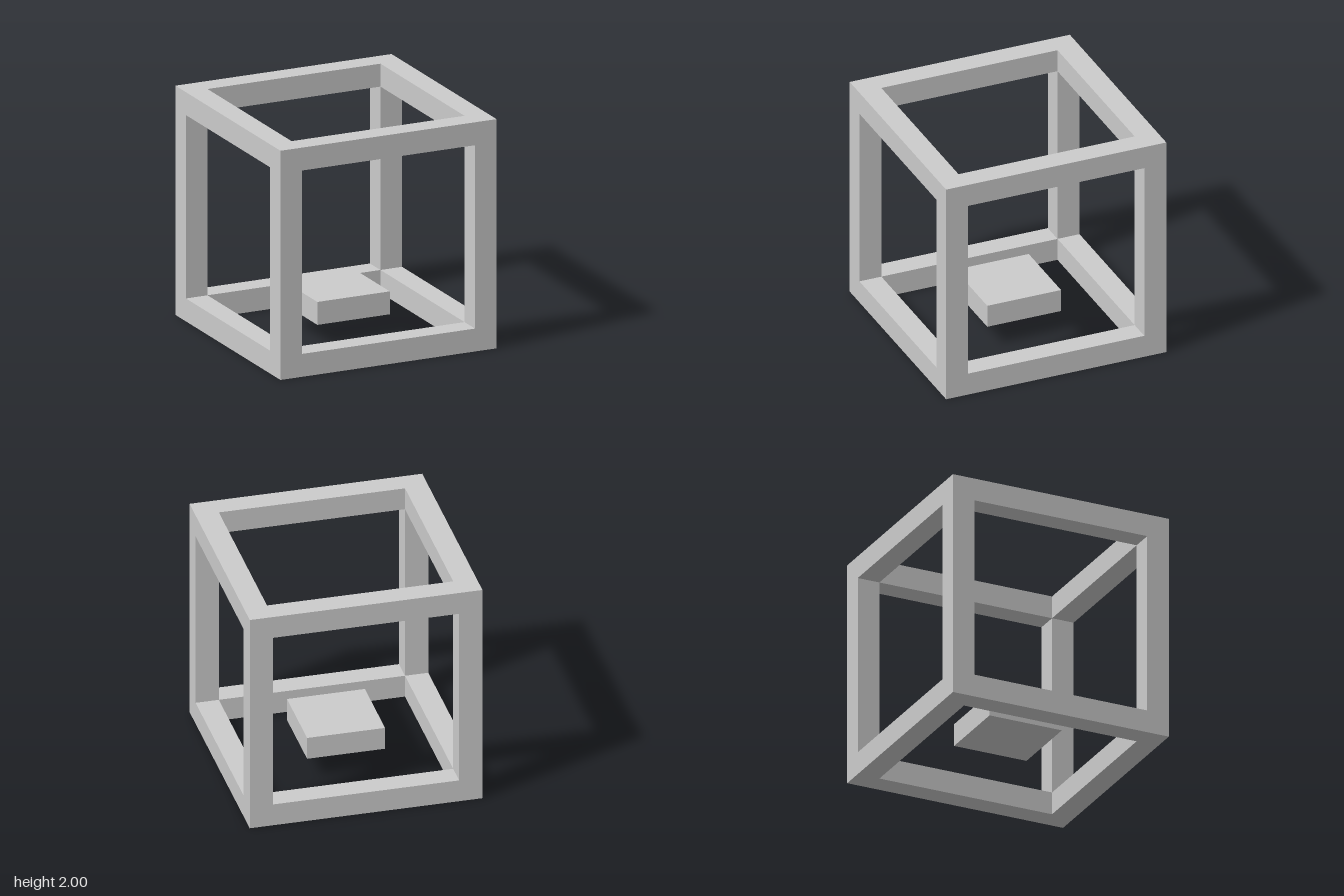
import * as THREE from 'three';
import { mergeGeometries } from 'three/addons/utils/BufferGeometryUtils.js';

const HALF = 1;     // half the cube's side
const BEAM = 0.2;   // beam thickness
const INNER = HALF - BEAM;

// Outline of a square centred on the origin
function square(path, r) {
  path.moveTo(-r, -r);
  path.lineTo(r, -r);
  path.lineTo(r, r);
  path.lineTo(-r, r);
  path.closePath();
  return path;
}

// One side of the cage: a flat square ring plus the four walls of its opening
function sideGeometry() {
  const ring = square(new THREE.Shape(), HALF);
  ring.holes.push(square(new THREE.Path(), INNER));
  const pieces = [new THREE.ShapeGeometry(ring).translate(0, 0, HALF)];
  for (let i = 0; i < 4; i++) {
    pieces.push(new THREE.PlaneGeometry(2 * INNER, BEAM)
      .rotateX(-Math.PI / 2)
      .translate(0, -INNER, HALF - BEAM / 2)
      .rotateZ(i * Math.PI / 2));
  }
  return mergeGeometries(pieces);
}

export function createModel() {
  const model = new THREE.Group();
  model.name = 'cubeFrame';
  const material = new THREE.MeshStandardMaterial({ color: 0xcccccc, flatShading: true });

  // Six sides join into twelve solid square beams
  const q = Math.PI / 2;
  const sides = {
    frontFrame: [0, 0], leftFrame: [0, q], backFrame: [0, 2 * q],
    rightFrame: [0, -q], topFrame: [-q, 0], bottomFrame: [q, 0],
  };
  const geometry = sideGeometry();
  for (const [name, [rx, ry]] of Object.entries(sides)) {
    const side = new THREE.Mesh(geometry, material);
    side.name = name;
    side.rotation.set(rx, ry, 0);
    side.position.y = HALF;
    model.add(side);
  }

  // Slab floating level with the top of the lower beams
  const slab = new THREE.Mesh(new THREE.BoxGeometry(0.67, 0.2, 0.67), material);
  slab.name = 'slab';
  slab.position.y = 0.3;
  model.add(slab);

  return model;
}
